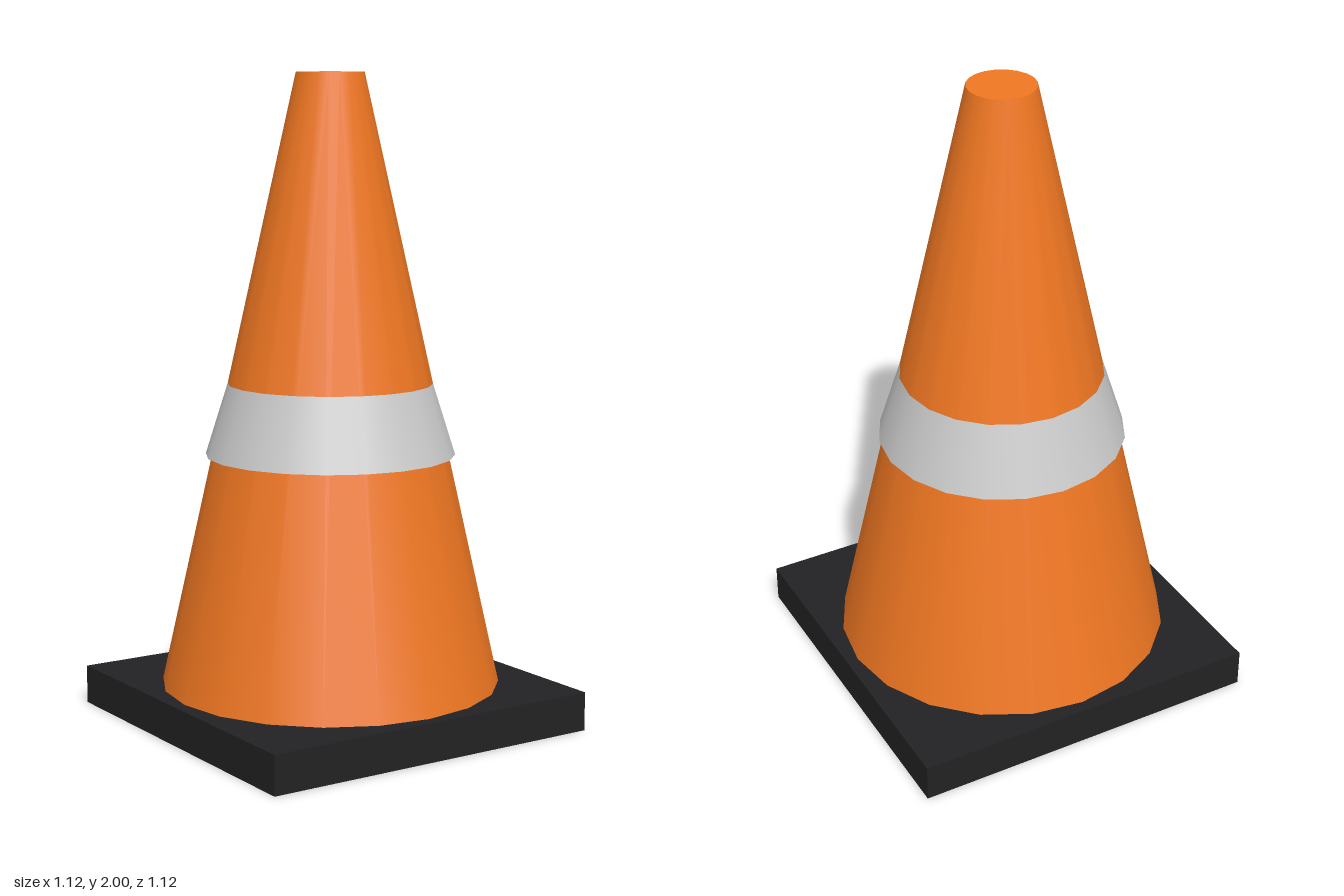
import * as THREE from 'three';

const SIDES = 20;

function addPart(group, name, geometry, color, bottom, height) {
  const mesh = new THREE.Mesh(geometry, new THREE.MeshStandardMaterial({ color }));
  mesh.name = name;
  mesh.position.y = bottom + height / 2;
  group.add(mesh);
}

export function createModel() {
  const group = new THREE.Group();
  group.name = 'trafficCone';

  // Square rubber foot
  addPart(group, 'base', new THREE.BoxGeometry(1.125, 0.12, 1.125), 0x222224, 0, 0.12);

  // Tapered body with a flat top
  addPart(group, 'coneBody', new THREE.CylinderGeometry(0.104, 0.525, 1.88, SIDES), 0xf07722, 0.12, 1.88);

  // Flared sleeve whose upper edge sinks into the body
  addPart(group, 'reflectiveBand', new THREE.CylinderGeometry(0.3125, 0.385, 0.23, SIDES), 0xcccccc, 0.835, 0.23);

  return group;
}
